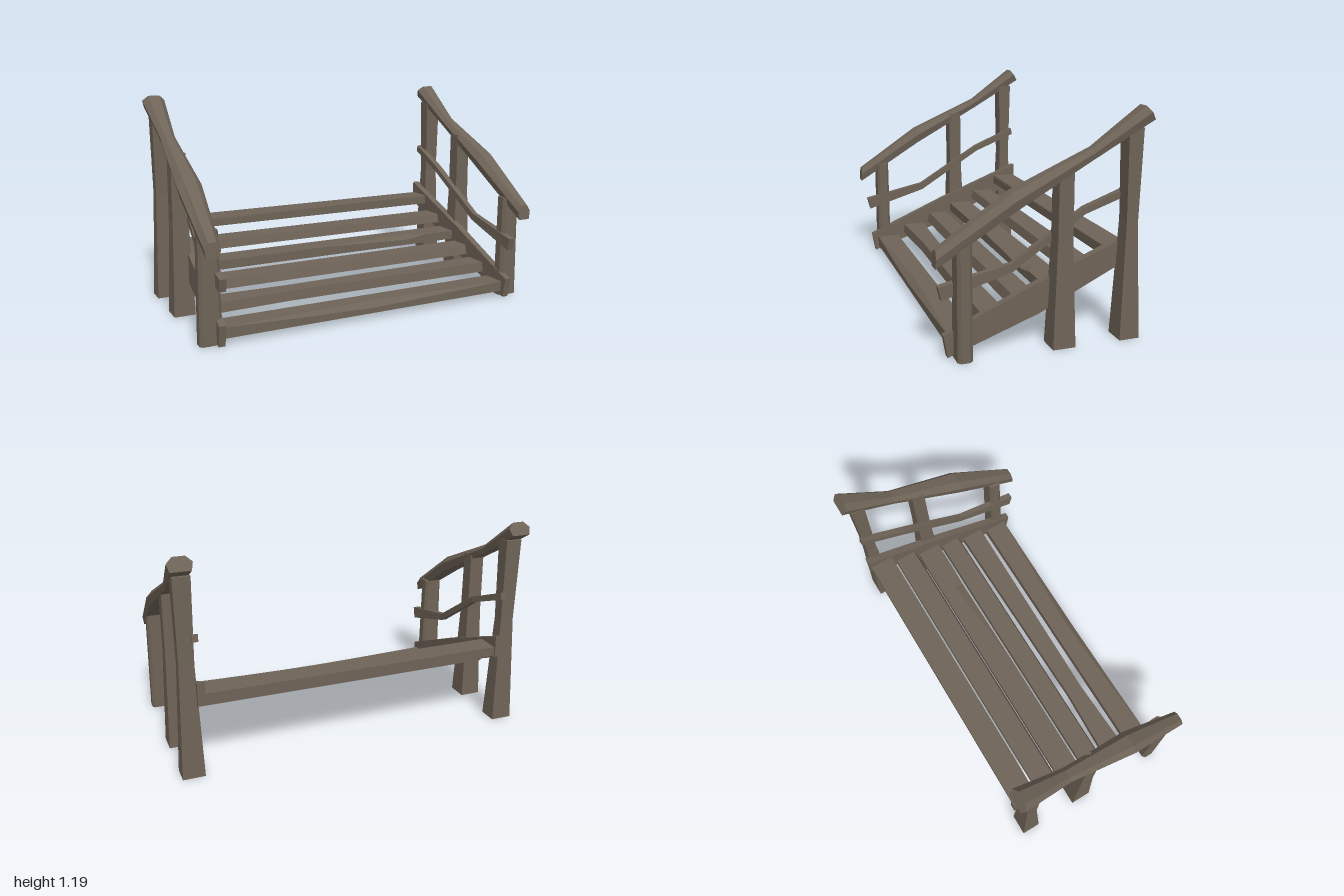
import * as THREE from 'three';

const wood = new THREE.MeshStandardMaterial({ color: 0x6e6357, flatShading: true });
wood.name = 'weathered wood';

// Skin a row of matching rings ([x, y, z] points) and cap both ends; faces always turn outward.
function loft(rings) {
  const n = rings[0].length, tris = [];
  for (let i = 0; i < rings.length - 1; i++) {
    for (let j = 0; j < n; j++) {
      const k = (j + 1) % n, a = rings[i], b = rings[i + 1];
      tris.push([a[j], a[k], b[k]], [a[j], b[k], b[j]]);
    }
  }
  const first = rings[0], last = rings[rings.length - 1];
  for (let j = 1; j < n - 1; j++) {
    tris.push([first[0], first[j + 1], first[j]], [last[0], last[j], last[j + 1]]);
  }
  let volume = 0;
  const v = tris.map(t => t.map(p => new THREE.Vector3(...p)));
  v.forEach(([a, b, c]) => { volume += a.dot(b.clone().cross(c)); });
  if (volume < 0) v.forEach(t => t.reverse());
  const geometry = new THREE.BufferGeometry().setFromPoints(v.flat());
  geometry.computeVertexNormals();
  return geometry;
}

function add(parent, name, rings) {
  const mesh = new THREE.Mesh(loft(rings), wood);
  mesh.name = name;
  parent.add(mesh);
}

// Upright post: stations are [y, half width x, half depth z], with optional corner chamfer.
function post(x, z, stations, c = 0) {
  return stations.map(([y, w, d]) => {
    const corners = c
      ? [[-w + c, -d], [w - c, -d], [w, -d + c], [w, d - c], [w - c, d], [-w + c, d], [-w, d - c], [-w, -d + c]]
      : [[-w, -d], [w, -d], [w, d], [-w, d]];
    return corners.map(([px, pz]) => [x + px, y, z + pz]);
  });
}

// Plank running front to back: stations are [zTop, yTop, zBottom, yBottom, xInner, xOuter].
function plank(s, stations) {
  return stations.map(([zt, yt, zb, yb, xi, xo]) =>
    [[s * xi, yb, zb], [s * xo, yb, zb], [s * xo, yt, zt], [s * xi, yt, zt]]);
}

// Handrail with a crowned top: stations are [zTop, yTop, zBottom, yBottom, xCentre, halfWidth].
function handrail(s, stations) {
  const outline = [[-0.82, 0], [0.82, 0], [1, 0.58], [0.5, 1], [-0.5, 1], [-1, 0.58]];
  return stations.map(([zt, yt, zb, yb, x, w]) =>
    outline.map(([u, t]) => [s * (x + u * w), yb + (yt - yb) * t, zb + (zt - zb) * t]));
}

// Tread board: stations are [x, back inset, front inset, worn chamfer depth, chamfer drop].
function tread({ back, front, top, bottom, lean = 0, stations }) {
  return stations.map(([x, bi, fi, depth, drop]) => [
    [x, bottom, back + bi], [x, bottom, front - fi],
    [x, top - drop, front - fi - lean], [x, top, front - fi - lean - depth],
    [x, top, back + bi],
  ]);
}

export function createModel() {
  const model = new THREE.Group();
  model.name = 'woodenSteps';

  // Two mirrored sides
  for (const s of [1, -1]) {
    const side = new THREE.Group();
    side.name = s > 0 ? 'leftSide' : 'rightSide';
    model.add(side);
    add(side, 'frontPost', post(s * 0.925, 0.408, [[0, 0.06, 0.038], [0.595, 0.053, 0.037]], 0.015));
    add(side, 'middlePost', post(s * 0.925, -0.102, [[0, 0.06, 0.06], [0.55, 0.044, 0.04], [0.91, 0.042, 0.038]]));
    add(side, 'backPost', post(s * 0.925, -0.461, [[0, 0.06, 0.054], [0.62, 0.04, 0.031], [1.085, 0.046, 0.04]]));
    add(side, 'handrail', handrail(s, [
      [0.545, 0.565, 0.55, 0.483, 0.937, 0.042],
      [0.17, 0.815, 0.165, 0.727, 0.934, 0.066],
      [-0.24, 0.998, -0.25, 0.948, 0.93, 0.041],
      [-0.51, 1.19, -0.55, 1.125, 0.933, 0.064],
    ]));
    add(side, 'middleRail', plank(s, [
      [0.52, 0.365, 0.503, 0.295, 0.862, 0.9],
      [0.147, 0.443, 0.14, 0.402, 0.866, 0.898],
      [-0.24, 0.685, -0.245, 0.652, 0.842, 0.88],
      [-0.505, 0.79, -0.512, 0.75, 0.862, 0.895],
    ]));
    add(side, 'stringer', plank(s, [
      [0.495, 0.115, 0.475, 0, 0.864, 0.9],
      [0, 0.33, 0, 0.165, 0.852, 0.894],
      [-0.52, 0.535, -0.52, 0.408, 0.843, 0.885],
    ]));
  }

  // Treads, from back to front, some worn along the front edge
  const E = 0.865, c = 0.001;
  const plain = [[-E, 0, 0, c, c], [E, 0, 0, c, c]];
  const boards = [
    { back: -0.51, front: -0.37, top: 0.465, bottom: 0.412,
      stations: [[-E, 0, 0, 0.004, 0.014], [0.4, 0, 0, c, c], [E, 0, 0, c, c]] },
    { back: -0.345, front: -0.205, top: 0.368, bottom: 0.316, lean: 0.014, stations: plain },
    { back: -0.19, front: -0.05, top: 0.292, bottom: 0.238,
      stations: [[-E, 0, 0, c, c], [-0.08, 0, 0, c, c], [0.53, 0, 0, 0.055, 0.022], [0.64, 0, 0, c, c], [E, 0, 0, c, c]] },
    { back: -0.022, front: 0.112, top: 0.232, bottom: 0.176, lean: 0.016, stations: plain },
    { back: 0.14, front: 0.28, top: 0.163, bottom: 0.106, lean: 0.008,
      stations: [[-E, 0, 0, c, c], [-0.42, 0.018, 0.018, c, c], [E, 0, 0, c, c]] },
    { back: 0.32, front: 0.456, top: 0.092, bottom: 0.032,
      stations: [[-E, 0, 0, c, c], [-0.4, 0, 0, 0.024, 0.018], [0, 0, 0, 0.036, 0.03], [0.4, 0, 0, 0.024, 0.018], [E, 0, 0, c, c]] },
  ];
  boards.forEach((board, i) => add(model, `tread${i + 1}`, tread(board)));
  return model;
}
